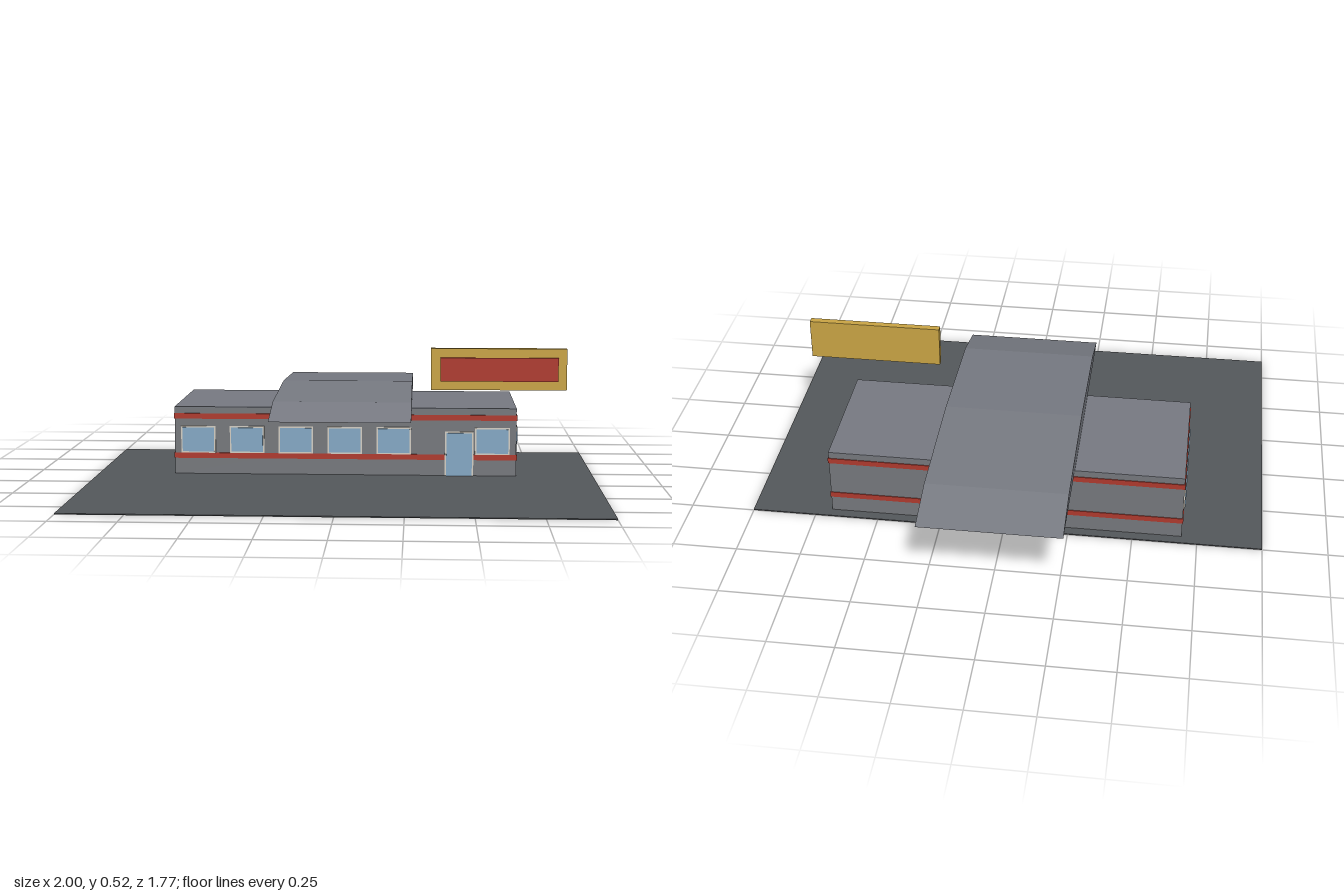
import * as THREE from 'three';

const mat = (name, color) => {
  const m = new THREE.MeshStandardMaterial({ color });
  m.name = name;
  return m;
};

export function createModel() {
  const model = new THREE.Group();
  model.name = 'diner';

  const asphalt = mat('asphalt', 0x54585b);
  const wall = mat('wallGrey', 0x76797d);
  const roof = mat('roofGrey', 0x777a82);
  const red = mat('red', 0xb03a2e);
  const glass = mat('glass', 0x85a9c6);
  const trim = mat('trim', 0xd5cfc4);
  const gold = mat('gold', 0xcaa545);

  // Box given by its extents on each axis
  const box = (name, material, [x0, x1], [y0, y1], [z0, z1], parent = model) => {
    const mesh = new THREE.Mesh(new THREE.BoxGeometry(x1 - x0, y1 - y0, z1 - z0), material);
    mesh.position.set((x0 + x1) / 2, (y0 + y1) / 2, (z0 + z1) / 2);
    mesh.name = name;
    parent.add(mesh);
    return mesh;
  };

  // Framed pane facing +z, standing on its local origin
  const pane = (name, w, h, x, y, z, turn = 0) => {
    const g = new THREE.Group();
    g.name = name;
    const t = 0.006;
    box('frame', trim, [-w / 2, w / 2], [0, h], [-0.002, 0.005], g);
    box('glass', glass, [-w / 2 + t, w / 2 - t], [name === 'door' ? 0 : t, h - t], [0, 0.008], g);
    g.position.set(x, y, z);
    g.rotation.y = turn;
    model.add(g);
  };

  const X = 0.69, BACK = -0.46, FRONT = 0.075, TOP = 0.278;

  // Parking lot and main building
  box('parkingLot', asphalt, [-1, 1], [0, 0.004], [-0.5, 0.885]);
  box('walls', wall, [-X, X], [0.001, TOP - 0.004], [BACK, FRONT]);
  box('flatRoof', roof, [-X, X], [TOP - 0.004, TOP], [BACK, FRONT]);

  // Stripes wrapping the walls
  for (const y of [0.068, 0.229]) {
    box('stripe', red, [-X - 0.003, X + 0.003], [y, y + 0.022], [BACK - 0.003, FRONT + 0.003]);
  }

  // Front windows and door
  for (const x of [-0.594, -0.396, -0.198, 0, 0.198, 0.594]) {
    pane('frontWindow', 0.14, 0.11, x, 0.09, FRONT);
  }
  pane('door', 0.115, 0.18, 0.461, 0.004, FRONT);

  // Two windows on each end wall
  for (const side of [-1, 1]) {
    for (const z of [-0.327, -0.057]) {
      pane('endWindow', 0.142, 0.11, side * X, 0.09, z, side * Math.PI / 2);
    }
  }

  // Faceted canopy running front to back over the roof
  const profile = [[0.495, 0.28], [0.295, 0.331], [-0.195, 0.354], [-0.685, 0.331], [-0.885, 0.28]];
  const shape = new THREE.Shape(profile.map(([z, y]) => new THREE.Vector2(-z, y)));
  const canopyGeo = new THREE.ExtrudeGeometry(shape, { depth: 0.54, bevelEnabled: false });
  canopyGeo.translate(0, 0, -0.27).rotateY(Math.PI / 2);
  const canopy = new THREE.Mesh(canopyGeo, roof);
  canopy.name = 'canopy';
  model.add(canopy);

  // Sign board with raised panel
  box('signBoard', gold, [0.345, 0.882], [0.36, 0.525], [0.104, 0.133]);
  box('signPanel', red, [0.383, 0.848], [0.395, 0.489], [0.132, 0.141]);

  return model;
}
